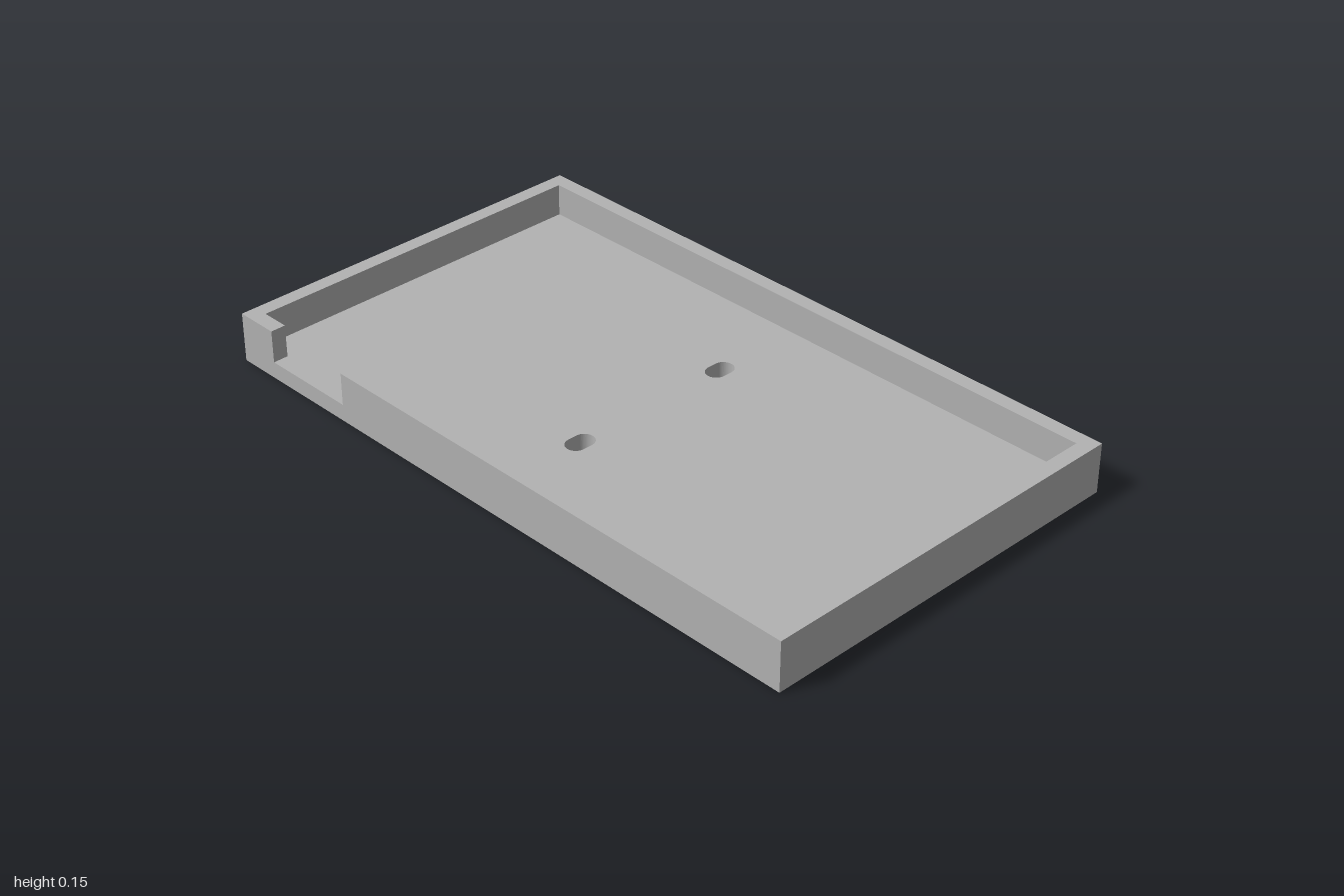
import * as THREE from 'three';

const W = 1, D = 0.577;            // outer half sizes
const IW = 0.955, ID = 0.532;      // inner half sizes
const FLOOR = 0.05, HEIGHT = 0.146;
const NOTCH = [-0.87, -0.575];     // opening in the front wall

// Extrude a plan outline (x, -z) upwards from a base height
function slab(name, shape, base, top, material) {
  const geometry = new THREE.ExtrudeGeometry(shape, { depth: top - base, bevelEnabled: false, curveSegments: 16 });
  geometry.rotateX(-Math.PI / 2).translate(0, base, 0);
  const mesh = new THREE.Mesh(geometry, material);
  mesh.name = name;
  return mesh;
}

const outline = (points) => new THREE.Shape(points.map(([x, y]) => new THREE.Vector2(x, y)));

// Rounded slot, long in z
function slot(x, y, radius, halfLength) {
  const path = new THREE.Path();
  const s = halfLength - radius;
  path.absarc(x, y + s, radius, 0, Math.PI, false);
  path.absarc(x, y - s, radius, Math.PI, Math.PI * 2, false);
  path.closePath();
  return path;
}

export function createModel() {
  const group = new THREE.Group();
  group.name = 'tray';
  const grey = new THREE.MeshStandardMaterial({ color: 0xb2b2b2 });
  grey.name = 'grey';

  // Floor with two mounting slots
  const floor = outline([[-W, -D], [W, -D], [W, D], [-W, D]]);
  for (const y of [-0.253, 0.253]) floor.holes.push(slot(-0.014, y, 0.03, 0.044));
  group.add(slab('floor', floor, 0, FLOOR, grey));

  // Rim wall running round the floor, open at the notch
  const rim = outline([
    [NOTCH[1], -D], [W, -D], [W, D], [-W, D], [-W, -D], [NOTCH[0], -D],
    [NOTCH[0], -ID], [-IW, -ID], [-IW, ID], [IW, ID], [IW, -ID], [NOTCH[1], -ID],
  ]);
  group.add(slab('rimWall', rim, FLOOR, HEIGHT, grey));

  return group;
}
